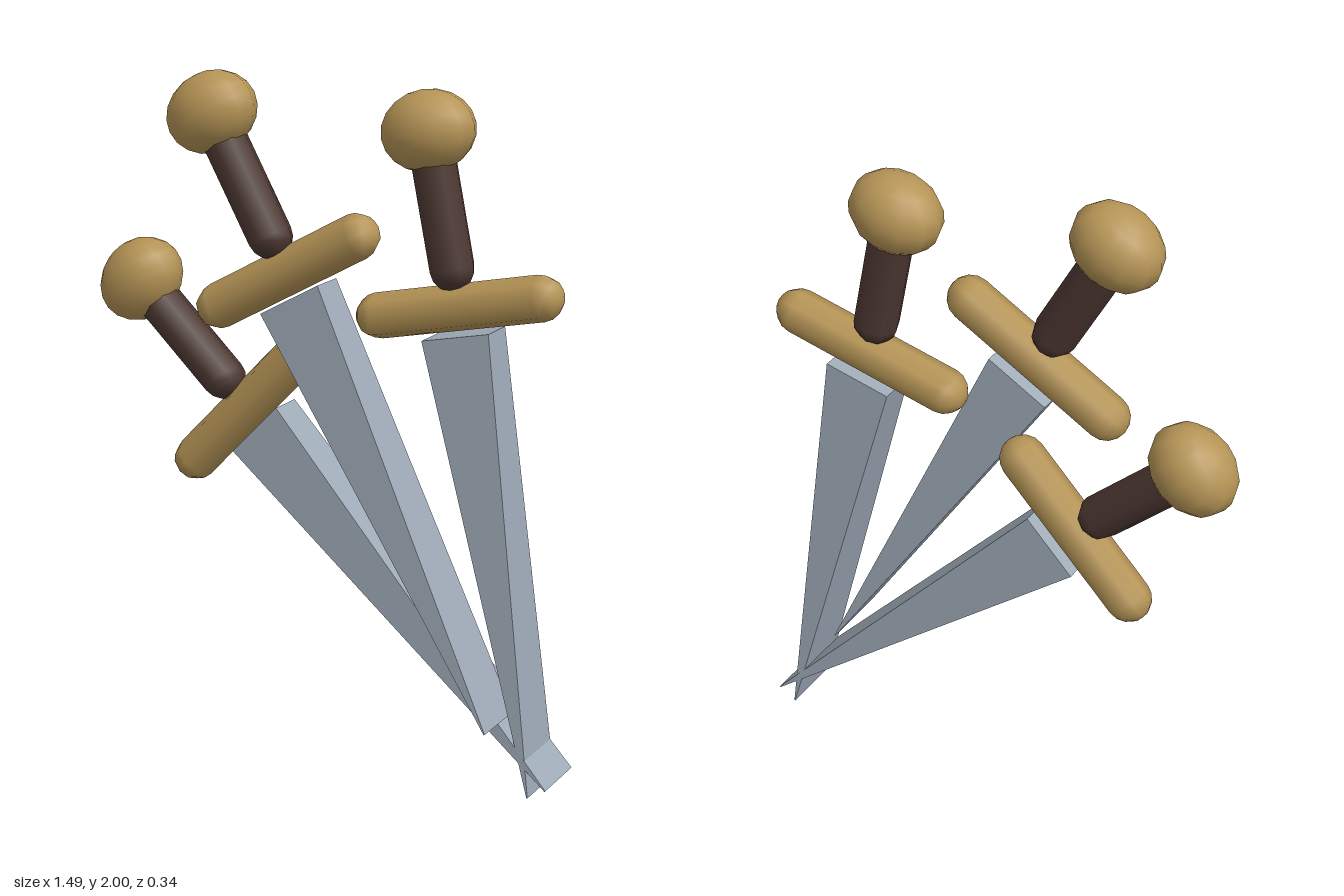
import * as THREE from 'three';

const gold = new THREE.MeshStandardMaterial({ color: 0xb59456 });
gold.name = 'gold';
const leather = new THREE.MeshStandardMaterial({ color: 0x4c3731 });
leather.name = 'dark leather';
const steel = new THREE.MeshStandardMaterial({ color: 0x9fabb8 });
steel.name = 'steel';

// Blade: narrows to an edge in x while widening in z towards the tip
function bladeGeometry(topY, tipY) {
  const box = new THREE.BoxGeometry(1, 1, 1);
  const p = box.attributes.position;
  for (let i = 0; i < p.count; i++) {
    const top = p.getY(i) > 0;
    const width = top ? 0.206 : 0.003;
    const depth = top ? 0.114 : 0.194;
    p.setXYZ(i, p.getX(i) * width, top ? topY : tipY, p.getZ(i) * depth);
  }
  const geometry = box.toNonIndexed();
  geometry.computeVertexNormals();
  return geometry;
}

function part(name, geometry, material, y = 0) {
  const mesh = new THREE.Mesh(geometry, material);
  mesh.name = name;
  mesh.position.y = y;
  return mesh;
}

// One dagger, with its origin at the centre of the guard and the pommel up
function createDagger() {
  const dagger = new THREE.Group();

  const guard = part('guard', new THREE.CapsuleGeometry(0.066, 0.5, 4, 8), gold);
  guard.rotation.z = Math.PI / 2;

  const grip = part('grip', new THREE.CapsuleGeometry(0.066, 0.29, 4, 8), leather, 0.255);

  const pommel = part('pommel', new THREE.SphereGeometry(1, 12, 10), gold, 0.493);
  pommel.scale.set(0.139, 0.114, 0.11);

  const blade = part('blade', bladeGeometry(-0.075, -1.4), steel);

  dagger.add(guard, grip, pommel, blade);
  return dagger;
}

export function createModel() {
  const model = new THREE.Group();
  model.name = 'fannedDaggers';

  // Guard centre x, y, z and tilt of each dagger in the fan
  const fan = [
    ['rightDagger', -0.265, 1.01, -0.058, 0.8],
    ['middleDagger', -0.069, 1.45, 0.06, 0.5],
    ['leftDagger', 0.407, 1.375, -0.058, 0.2],
  ];
  for (const [name, x, y, z, tilt] of fan) {
    const dagger = createDagger();
    dagger.name = name;
    dagger.position.set(x, y, z);
    dagger.rotation.z = tilt;
    model.add(dagger);
  }
  return model;
}
